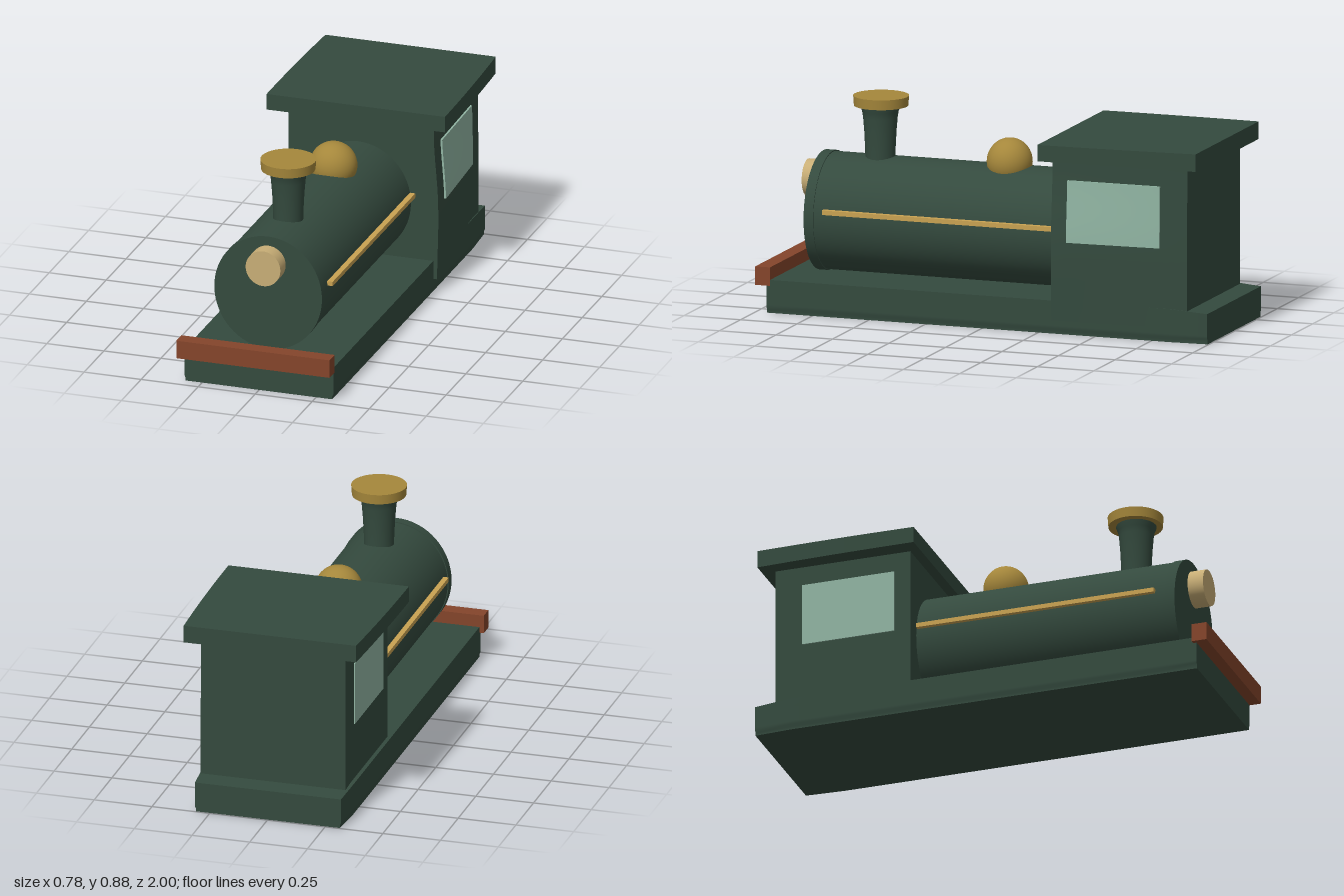
import * as THREE from 'three';

const mat = (name, color) => {
  const m = new THREE.MeshStandardMaterial({ color });
  m.name = name;
  return m;
};

export function createModel() {
  const green = mat('dark green', 0x344a3e);
  const brass = mat('brass', 0xa5873b);
  const gold = mat('gold trim', 0xc9a252);
  const cream = mat('lamp cream', 0xc8ae76);
  const glass = mat('pale glass', 0x90b4a2);
  const red = mat('rust red', 0x84452b);

  const model = new THREE.Group();
  model.name = 'locomotive';

  const add = (name, geometry, material) => {
    const mesh = new THREE.Mesh(geometry, material);
    mesh.name = name;
    model.add(mesh);
    return mesh;
  };

  // Box given by its limits, optionally reshaped by a rule on each vertex
  const box = (name, material, [x0, x1], [y0, y1], [z0, z1], rule, segments = 1) => {
    const g = new THREE.BoxGeometry(x1 - x0, y1 - y0, z1 - z0, segments, segments, segments);
    g.translate((x0 + x1) / 2, (y0 + y1) / 2, (z0 + z1) / 2);
    if (rule) {
      const p = g.attributes.position;
      const v = new THREE.Vector3();
      for (let i = 0; i < p.count; i++) {
        rule(v.fromBufferAttribute(p, i));
        p.setXYZ(i, v.x, v.y, v.z);
      }
      g.computeVertexNormals();
    }
    return add(name, g, material);
  };

  // Cylinder lying along z
  const drum = (name, material, r, z0, z1, x, y, stretchY = 1) => {
    const g = new THREE.CylinderGeometry(r, r, z1 - z0, 64).rotateX(Math.PI / 2);
    g.scale(1, stretchY, 1).translate(x, y, (z0 + z1) / 2);
    return add(name, g, material);
  };

  // Footplate, slightly narrower and lower at the rear
  box('footplate', green, [-0.327, 0.325], [0.005, 0.145], [-0.995, 0.95], (v) => {
    const back = THREE.MathUtils.clamp((-0.85 - v.z) / 0.15, 0, 1);
    v.x -= Math.sign(v.x) * 0.01 * back;
    if (v.y > 0.1) v.y -= 0.012 * back;
    if (v.y < 0.02) v.x *= 0.985;
  }, 12);
  box('bufferBeam', red, [-0.346, 0.326], [0.12, 0.198], [0.935, 1.0]);

  // Boiler with a raised front rim
  drum('boiler', green, 0.232, -0.33, 0.785, -0.005, 0.39, 1.06);
  drum('smokeboxRim', green, 0.236, 0.78, 0.822, -0.005, 0.39, 1.06);
  drum('headlamp', cream, 0.076, 0.81, 0.89, -0.004, 0.522, 1.02);

  // Boiler trim on both sides
  for (const [name, x] of [['leftTrim', 0.236], ['rightTrim', -0.243]]) {
    box(name, gold, [x - 0.012, x + 0.012], [0.419, 0.438], [-0.31, 0.735]);
  }

  // Funnel and its brass cap
  const funnel = [[0.062, 0.6], [0.063, 0.66], [0.067, 0.74], [0.072, 0.8], [0.076, 0.825], [0.084, 0.845], [0.084, 0.86]];
  const funnelMesh = add('funnel',
    new THREE.LatheGeometry(funnel.map(([r, y]) => new THREE.Vector2(r, y)), 48), green);
  funnelMesh.position.set(-0.004, 0, 0.57);
  const cap = add('funnelCap', new THREE.CylinderGeometry(0.116, 0.113, 0.042, 48), brass);
  cap.position.set(-0.005, 0.869, 0.567);

  // Steam dome
  const dome = add('steamDome', new THREE.SphereGeometry(1, 40, 24), brass);
  dome.scale.set(0.1, 0.1, 0.095);
  dome.position.set(-0.004, 0.65, -0.002);

  // Cab: the left wall flares outward low down towards the front
  const flare = (y, z) => {
    const low = THREE.MathUtils.smoothstep(0.72 - y, 0, 0.35);
    const skirt = THREE.MathUtils.clamp((0.3 - y) / 0.24, 0, 1);
    const front = THREE.MathUtils.clamp((z + 0.95) / 0.6, 0, 1);
    return (0.02 * low - 0.006 * skirt) * front - 0.012 * (1 - front);
  };
  box('cab', green, [-0.31, 0.327], [0.065, 0.76], [-0.907, -0.315], (v) => {
    if (v.x > 0.32) v.x += flare(v.y, v.z);
  }, 12);

  // Cab windows, the left one following the flared wall
  box('leftWindow', glass, [0.328, 0.336], [0.4, 0.66], [-0.79, -0.385], (v) => {
    v.x += flare(v.y, v.z) + 0.003;
  }, 8);
  box('rightWindow', glass, [-0.315, -0.306], [0.39, 0.66], [-0.79, -0.385]);

  // Roof slab, tapering gently towards the rear
  box('roof', green, [-0.391, 0.391], [0.743, 0.812], [-0.965, -0.272], (v) => {
    const back = (-0.272 - v.z) / 0.693;
    v.x *= 1 - 0.045 * back * back;
    if (v.y > 0.8) v.y += 0.005 * back;
  }, 8);

  return model;
}
